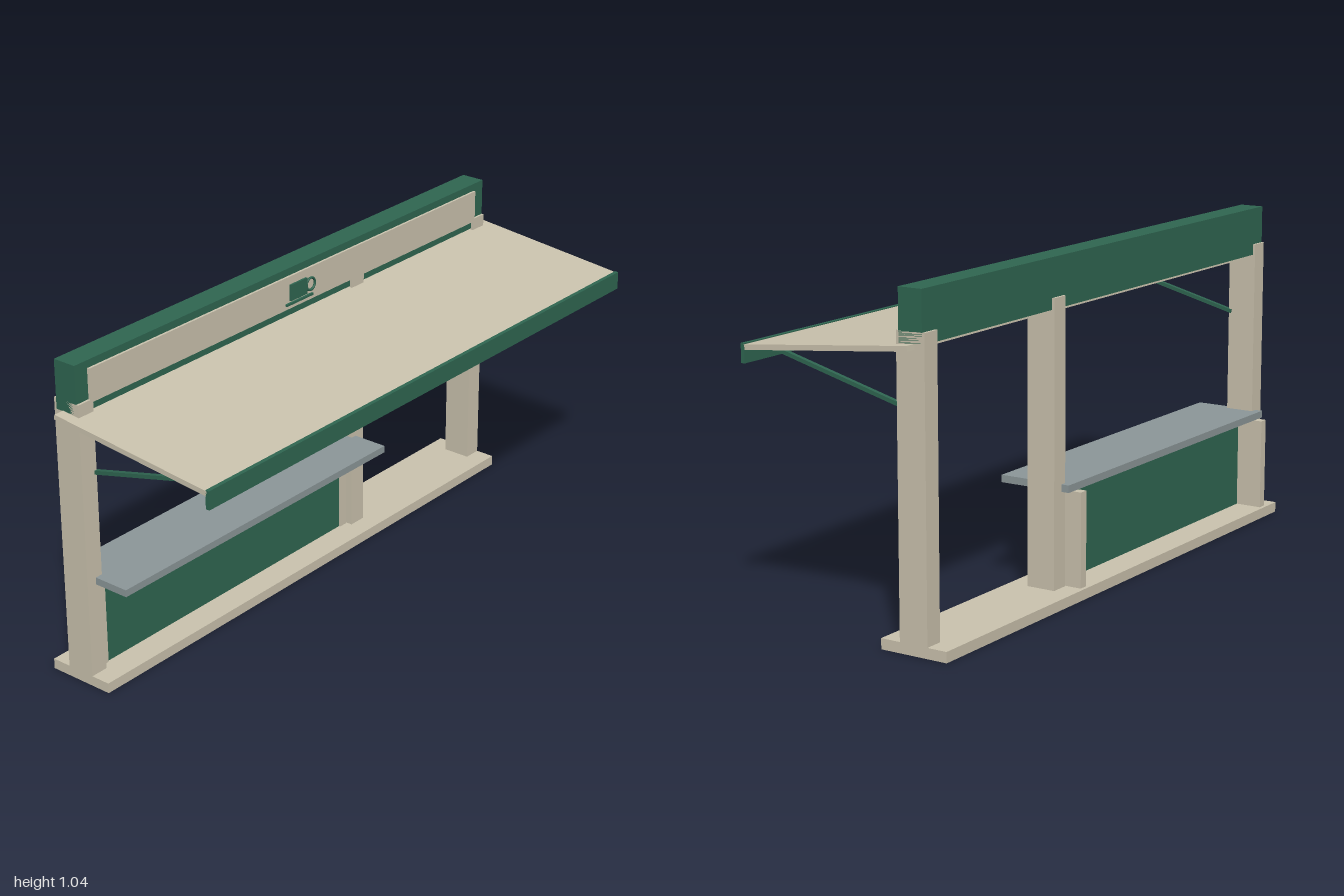
import * as THREE from 'three';

export function createModel() {
  const mat = (name, color) => {
    const m = new THREE.MeshStandardMaterial({ color });
    m.name = name;
    return m;
  };
  const cream = mat('cream paint', 0xcbc3ae);
  const green = mat('deep green paint', 0x2f6651);
  const grey = mat('counter grey', 0x8c9799);

  const model = new THREE.Group();
  model.name = 'marketStall';

  const add = (name, geometry, material) => {
    const mesh = new THREE.Mesh(geometry, material);
    mesh.name = name;
    model.add(mesh);
    return mesh;
  };
  // Box given by its lower and upper limits on each axis
  const box = (name, material, [x0, x1], [y0, y1], [z0, z1]) => {
    const mesh = add(name, new THREE.BoxGeometry(x1 - x0, y1 - y0, z1 - z0), material);
    mesh.position.set((x0 + x1) / 2, (y0 + y1) / 2, (z0 + z1) / 2);
    return mesh;
  };
  // Sloping slab whose centre line runs between two (z, y) points
  const slab = (name, material, x, width, thick, [z0, y0], [z1, y1]) => {
    const length = Math.hypot(z1 - z0, y1 - y0);
    const mesh = add(name, new THREE.BoxGeometry(width, thick, length), material);
    mesh.position.set(x, (y0 + y1) / 2, (z0 + z1) / 2);
    mesh.rotation.x = -Math.atan2(y1 - y0, z1 - z0);
    return mesh;
  };

  // Base and three tall posts
  box('base', cream, [-0.965, 0.965], [0, 0.033], [-0.34, -0.115]);
  for (const x of [-0.965, 0.26, 0.905]) {
    box('post', cream, [x, x + 0.06], [0.033, 0.92], [-0.275, -0.18]);
  }

  // Header beam with its sign board
  box('header', green, [-0.965, 0.965], [0.885, 1.04], [-0.267, -0.188]);
  box('signBoard', cream, [-0.915, 0.915], [0.91, 1.016], [-0.188, -0.18]);

  // Small cup picture on the sign board
  box('cupBody', green, [-0.045, 0.033], [0.937, 0.99], [-0.18, -0.173]);
  box('saucer', green, [-0.065, 0.062], [0.924, 0.931], [-0.18, -0.173]);
  add('cupHandle', new THREE.TorusGeometry(0.02, 0.004, 8, 24), green)
    .position.set(0.052, 0.963, -0.176);

  // Awning, fascia and the two struts
  slab('awning', cream, 0, 2, 0.016, [-0.242, 0.879], [0.33, 0.822]);
  box('fascia', green, [-1, 1], [0.775, 0.833], [0.327, 0.34]);
  for (const side of [-1, 1]) {
    slab('strut', green, side * 0.907, 0.014, 0.012, [-0.19, 0.687], [0.285, 0.808]);
  }

  // Counter with panel and short uprights
  box('counter', grey, [-0.93, 0.28], [0.33, 0.353], [-0.3, -0.06]);
  box('counterPanel', green, [-0.875, 0.225], [0.033, 0.33], [-0.24, -0.205]);
  for (const x of [-0.905, 0.225]) {
    box('counterUpright', cream, [x, x + 0.03], [0.033, 0.33], [-0.328, -0.2]);
  }

  return model;
}
